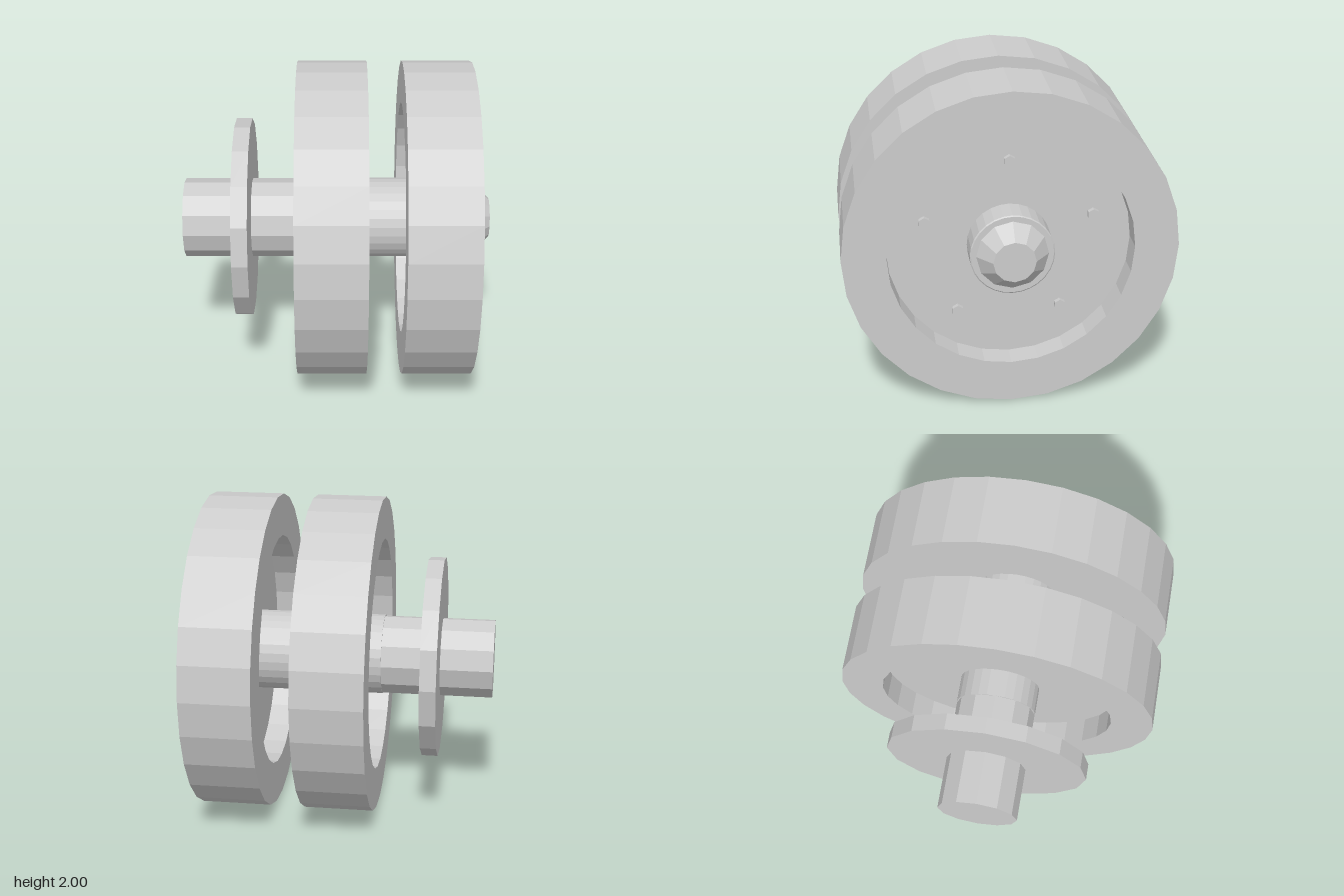
import * as THREE from 'three';

const material = new THREE.MeshStandardMaterial({ color: 0xcccccc, flatShading: true });

// Solid turned around the x axis; the profile is [radius, x] pairs
function turned(name, profile, sides) {
  const points = profile.map(([r, x]) => new THREE.Vector2(r, x));
  const geometry = new THREE.LatheGeometry(points, sides);
  geometry.rotateZ(-Math.PI / 2);
  const mesh = new THREE.Mesh(geometry, material);
  mesh.name = name;
  return mesh;
}

// Wheel with a recessed web on both sides and five bolts
function createWheel(name, x) {
  const wheel = new THREE.Group();
  wheel.name = name;
  wheel.position.x = x;
  const half = 0.217, web = 0.067, dish = 0.735;
  wheel.add(turned('wheelBody', [
    [0.2, -web], [dish, -web], [dish, -half], [1, -half],
    [1, half], [dish, half], [dish, web], [0.2, web],
  ], 28));
  for (let i = 0; i < 5; i++) {
    const angle = (i / 5) * Math.PI * 2;
    const bolt = turned('bolt', [[0, 0], [0.036, 0], [0.036, 0.03], [0, 0.03]], 6);
    bolt.rotation.x = Math.PI / 2; // a corner points up
    bolt.position.set(web, 0.53 * Math.cos(angle), 0.53 * Math.sin(angle));
    wheel.add(bolt);
  }
  return wheel;
}

export function createModel() {
  const model = new THREE.Group();
  model.name = 'wheelAssembly';
  const rotor = new THREE.Group();
  rotor.name = 'rotor';
  rotor.position.y = 1;
  model.add(rotor);

  // Wheels
  rotor.add(createWheel('innerWheel', -0.034), createWheel('outerWheel', 0.622));

  // Hub sleeve through both wheels
  rotor.add(turned('hub', [
    [0, -0.272], [0.252, -0.272], [0.252, 0.858], [0.245, 0.863], [0, 0.863],
  ], 28));

  // Axle stub and its tapered end cap
  rotor.add(turned('axle', [[0, -0.968], [0.25, -0.968], [0.25, -0.2], [0, -0.2]], 12));
  rotor.add(turned('endCap', [[0, 0.85], [0.215, 0.85], [0.215, 0.863], [0.127, 0.965], [0, 0.965]], 12));

  // Brake disc
  rotor.add(turned('brakeDisc', [[0, -0.64], [0.633, -0.64], [0.633, -0.54], [0, -0.54]], 16));

  return model;
}
